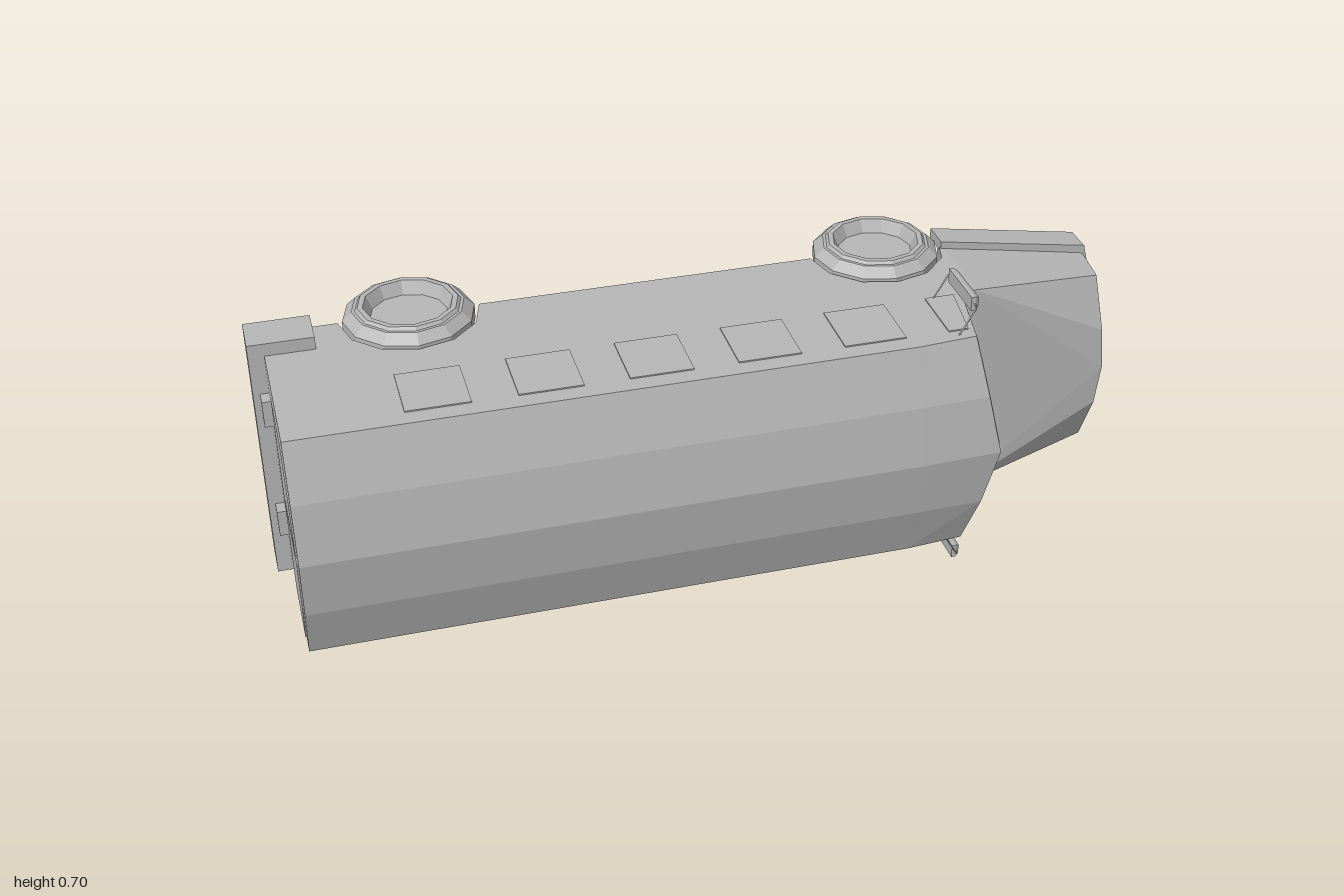
import * as THREE from 'three';
import { ConvexGeometry } from 'three/addons/geometries/ConvexGeometry.js';

// Authored upright: x = forward, y = up, z = width; the group is then laid on its side.
export function createModel() {
  const model = new THREE.Group();
  const grey = new THREE.MeshStandardMaterial({ color: 0xb6b6b6 });
  grey.name = 'plainGrey';
  const V = (x, y, z) => new THREE.Vector3(x, y, z);

  const add = (name, geometry) => {
    let g = geometry.index ? geometry.toNonIndexed() : geometry;
    g.computeVertexNormals();
    const mesh = new THREE.Mesh(g, grey);
    mesh.name = name;
    model.add(mesh);
    return mesh;
  };
  const hull = (name, pts) => add(name, new ConvexGeometry(pts));
  const both = (pts) => pts.flatMap(([x, y, z]) => (z ? [V(x, y, z), V(x, y, -z)] : [V(x, y, z)]));
  // Thin pane lying on a flat polygon
  const pane = (name, pts) => {
    const n = pts[1].clone().sub(pts[0]).cross(pts[2].clone().sub(pts[0])).normalize().multiplyScalar(0.003);
    hull(name, pts.flatMap((p) => [p.clone().add(n), p.clone().sub(n)]));
  };
  const box = (name, x0, x1, y0, y1, z0, z1) =>
    add(name, new THREE.BoxGeometry(x1 - x0, y1 - y0, z1 - z0)
      .translate((x0 + x1) / 2, (y0 + y1) / 2, (z0 + z1) / 2));

  const axles = [-0.64, 0.45];
  const axleY = -0.18, half = 0.27, rear = -0.965;

  // Lower body with wheel tunnels running right across
  const side = new THREE.Shape();
  side.moveTo(rear, axleY);
  for (const x of axles) {
    for (let i = 0; i <= 6; i++) {
      const a = Math.PI * (1 - i / 6);
      side.lineTo(x + 0.157 * Math.cos(a), axleY + 0.157 * Math.sin(a));
    }
  }
  side.lineTo(0.607, 0.06);
  side.lineTo(rear, 0.06);
  add('lowerBody', new THREE.ExtrudeGeometry(side, { depth: 2 * half, bevelEnabled: false })
    .translate(0, 0, -half));

  // Upper body with faceted roof and swept two-plane windscreen
  const screenX = (y, z) => 0.635 - 0.24 * z - 0.2 * (y - 0.06);
  const screenPoint = ([y, z]) => [screenX(y, z), y, z];
  hull('upperBody', both([
    [rear, 0.06, half], [rear, 0.26, half], [rear, 0.303, 0.14], [rear, 0.323, 0],
    [0.4, 0.26, half], [0.4, 0.303, 0.14], [0.4, 0.323, 0],
    ...[[0.06, 0], [0.06, half], [0.25, half], [0.299, 0.14], [0.317, 0]].map(screenPoint),
  ]));

  // Bonnet
  const noseX = (y, z) => 0.965 - 0.09 * z - 0.12 * (y + 0.06);
  const nosePoint = ([y, z]) => [noseX(y, z), y, z];
  hull('bonnet', both([
    [0.605, 0.06, half], [0.605, -0.175, half], [0.63, 0.06, 0],
    ...[[0.045, 0], [0.04, 0.1], [-0.01, 0.22], [-0.165, 0.22], [-0.165, 0]].map(nosePoint),
  ]));

  // Front bumper: band wrapping the nose, rising towards the front
  const outer = [[0.6, 0.288], [0.955, 0.24], [0.985, 0.12], [1.0, 0]];
  const inner = [[0.97, 0], [0.958, 0.11], [0.93, 0.217], [0.6, 0.262]];
  const outline = [
    ...outer, ...outer.slice(0, 3).reverse().map(([x, z]) => [x, -z]),
    ...inner.slice(1).reverse().map(([x, z]) => [x, -z]), ...inner,
  ];
  const band = new THREE.ExtrudeGeometry(
    new THREE.Shape(outline.map(([x, z]) => new THREE.Vector2(x, z))),
    { depth: 0.07, bevelEnabled: false }).rotateX(-Math.PI / 2);
  const bp = band.attributes.position;
  for (let i = 0; i < bp.count; i++) bp.setY(i, bp.getY(i) - 0.213 + 0.07 * (bp.getX(i) - 0.6));
  add('frontBumper', band);

  // Rear bumper
  box('rearBumper', -1.0, -0.855, -0.18, -0.083, -0.3, 0.3);

  for (const s of [1, -1]) {
    const map = (pts, f) => pts.map((p) => { const [x, y, z] = f(p); return V(x, y, z * s); });

    // Windscreen, grille half and headlight
    pane('windscreen', map([[0.085, 0.008], [0.085, 0.25], [0.235, 0.25], [0.275, 0.14], [0.293, 0.008]], screenPoint));
    pane('grille', map([[0.035, 0], [0.028, 0.095], [0, 0.1], [-0.06, 0.07], [-0.06, 0]], nosePoint));
    pane('headlight', map([[-0.005, 0.11], [-0.03, 0.21], [-0.065, 0.21], [-0.065, 0.073]], nosePoint));

    // Rear window and small rear light
    pane('rearWindow', map([[0.06, 0.01], [0.06, 0.25], [0.235, 0.25], [0.28, 0.14], [0.297, 0.01]], ([y, z]) => [rear, y, z]));
    const zl = s * 0.145;
    box('rearLight', -0.985, rear, -0.085, -0.048, zl - 0.032, zl + 0.032);

    // Side windows; the foremost is cut by the windscreen pillar
    for (let i = 0; i < 6; i++) {
      const x0 = -0.71 + 0.238 * i;
      const top = i === 5 ? 0.525 : x0 + 0.14;
      const low = i === 5 ? 0.548 : x0 + 0.14;
      pane('sideWindow', map([[x0, 0.07], [low, 0.07], [top, 0.218], [x0, 0.218]], ([x, y]) => [x, y, half]));
    }

    // Mirror on two bent arms
    hull('mirror', [0.085, 0.22].flatMap((y) => {
      const c = y < 0.15 ? 0.006 : -0.006;
      return [V(0.527, y, s * 0.317), V(0.527, y, s * 0.35), V(0.537, y, s * 0.317), V(0.537, y, s * 0.35),
        V(0.546, y + c, s * 0.322), V(0.546, y + c, s * 0.345)];
    }));
    for (const [y, end] of [[0.235, 0.215], [0.073, 0.09]]) {
      const path = new THREE.CurvePath();
      const pts = [V(0.495, y, s * 0.265), V(0.535, y, s * 0.333), V(0.535, end, s * 0.333)];
      path.add(new THREE.LineCurve3(pts[0], pts[1]));
      path.add(new THREE.LineCurve3(pts[1], pts[2]));
      add('mirrorArm', new THREE.TubeGeometry(path, 8, 0.002, 4));
    }

    // Wheels with chamfered tyres and dished hubs
    const profile = [[0, 0], [0.125, 0], [0.147, 0.018], [0.147, 0.052], [0.125, 0.073],
      [0.118, 0.073], [0.112, 0.08], [0.1, 0.08], [0.086, 0.05], [0, 0.05]]
      .map(([r, y]) => new THREE.Vector2(r, y));
    for (const x of axles) {
      add('wheel', new THREE.LatheGeometry(profile, 12)
        .rotateX(s * Math.PI / 2).translate(x, axleY, s * 0.22));
    }
  }

  // Axles
  for (const x of axles) {
    add('axle', new THREE.CylinderGeometry(0.025, 0.025, 0.45, 10).rotateX(Math.PI / 2).translate(x, axleY, 0));
  }

  // Lay the vehicle on its side, roof facing forward
  model.rotation.x = Math.PI / 2;
  model.position.y = 0.35;
  const root = new THREE.Group();
  root.name = 'bus';
  model.name = 'busBody';
  root.add(model);
  return root;
}
